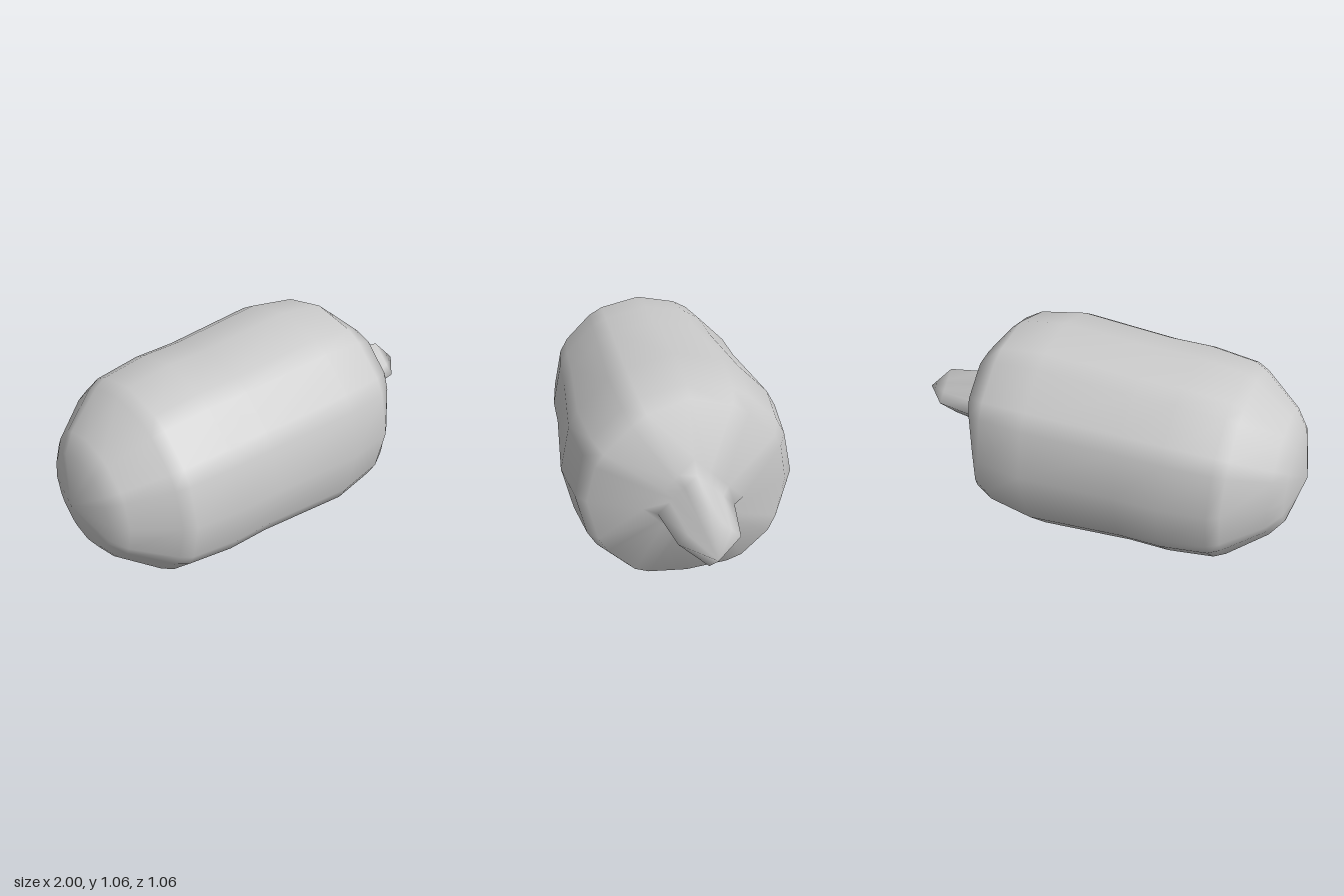
import * as THREE from 'three';
import { mergeVertices } from 'three/addons/utils/BufferGeometryUtils.js';

const CENTRE_Y = 0.532;

// Cross-sections along x: [x, radius, diamond blend 0..1, forward bulge on the diagonals]
const SECTIONS = [
  [-1, 0, 0, 0],
  [-0.945, 0.222, 0, 0],
  [-0.89, 0.298, 0, 0],
  [-0.72, 0.437, 0, 0],
  [-0.665, 0.466, 0, 0],
  [-0.45, 0.495, 0, 0],
  [-0.25, 0.497, 0, 0],
  [0.2, 0.532, 0, 0],
  [0.43, 0.497, 0, 0],
  [0.485, 0.452, 0, 0.045],
  [0.59, 0.225, 1, 0.01],
  [0.64, 0.17, 1, 0],
  [0.865, 0.132, 1, 0],
  [1, 0, 1, 0],
];

// Uneven twenty-sided ring, the same in each quarter
const ANGLES = [];
for (let q = 0; q < 4; q++) {
  for (const a of [0, 24.4, 34, 56, 65.6]) ANGLES.push(THREE.MathUtils.degToRad(a + q * 90));
}

function bodyGeometry() {
  const positions = [], index = [], n = ANGLES.length;
  for (const [x, r, diamond, bulge] of SECTIONS) {
    for (const a of ANGLES) {
      const c = Math.cos(a), s = Math.sin(a);
      const radius = r * THREE.MathUtils.lerp(1, 1 / (Math.abs(c) + Math.abs(s)), diamond);
      const diagonal = Math.sin(2 * a) ** 2;
      positions.push(x + bulge * diagonal, CENTRE_Y + radius * c, radius * s);
    }
  }
  const last = SECTIONS.length - 2;
  for (let i = 0; i <= last; i++) {
    for (let j = 0; j < n; j++) {
      const k = (j + 1) % n;
      const a = i * n + j, b = i * n + k, c = a + n, d = b + n;
      if (i > 0) index.push(a, b, c); // closed to a point at the rounded end
      if (i < last) index.push(b, d, c); // closed to a point at the tip
      if (i === 0) continue;
    }
  }
  const geometry = new THREE.BufferGeometry();
  geometry.setAttribute('position', new THREE.Float32BufferAttribute(positions, 3));
  geometry.setIndex(index);
  const merged = mergeVertices(geometry, 1e-4);
  merged.computeVertexNormals();
  return merged;
}

export function createModel() {
  const group = new THREE.Group();
  group.name = 'model';
  // Rounded body with a four-sided nozzle, one continuous skin
  const body = new THREE.Mesh(bodyGeometry(), new THREE.MeshStandardMaterial({ color: 0xcccccc }));
  body.name = 'bodyWithNozzle';
  group.add(body);
  return group;
}
